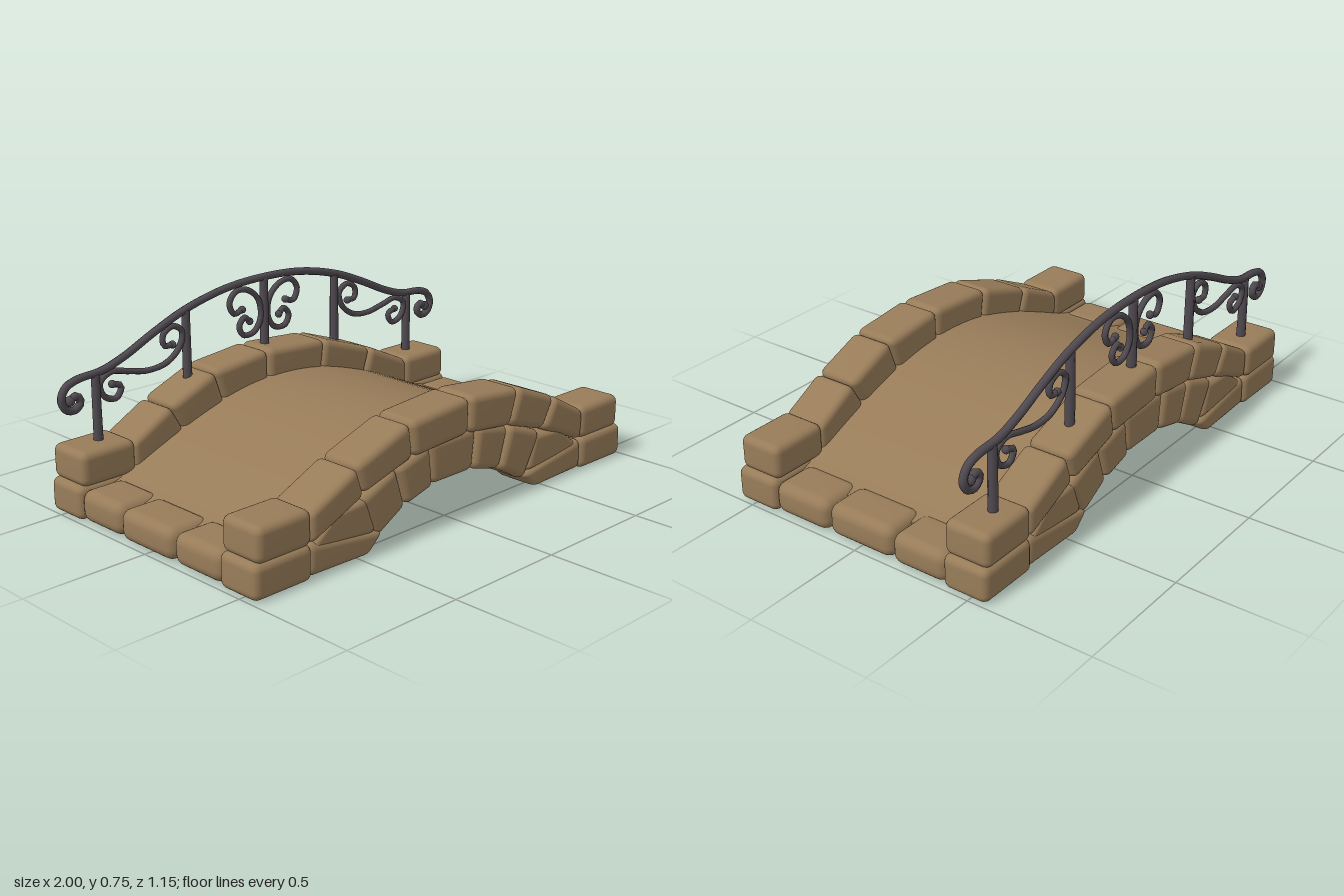
import * as THREE from 'three';
import { mergeVertices, toCreasedNormals } from 'three/addons/utils/BufferGeometryUtils.js';
import { RoundedBoxGeometry } from 'three/addons/geometries/RoundedBoxGeometry.js';

const stoneMat = new THREE.MeshStandardMaterial({ color: 0x987c59 });
stoneMat.name = 'sandstone';
const ironMat = new THREE.MeshStandardMaterial({ color: 0x504a50 });
ironMat.name = 'wrought iron';

// small seeded jitter so the stones do not line up perfectly
let seed = 7;
const jitter = (a) => {
  seed = (seed * 16807) % 2147483647;
  return (seed / 2147483647 - 0.5) * 2 * a;
};

// rounded stone: a soft box warped onto the quad [bl, br, tr, tl], spanning z0..z1
function stone(name, [bl, br, tr, tl], z0, z1, radius = 0.03) {
  const w = (Math.hypot(br[0] - bl[0], br[1] - bl[1]) + Math.hypot(tr[0] - tl[0], tr[1] - tl[1])) / 2;
  const h = (Math.hypot(tl[0] - bl[0], tl[1] - bl[1]) + Math.hypot(tr[0] - br[0], tr[1] - br[1])) / 2;
  let geo = new RoundedBoxGeometry(w, h, z1 - z0, 3, Math.min(radius, h * 0.4, w * 0.4));
  geo.deleteAttribute('uv');
  geo.deleteAttribute('normal');
  const p = geo.attributes.position;
  for (let i = 0; i < p.count; i++) {
    const u = p.getX(i) / w + 0.5, v = p.getY(i) / h + 0.5;
    const at = (k) => (1 - v) * ((1 - u) * bl[k] + u * br[k]) + v * ((1 - u) * tl[k] + u * tr[k]);
    p.setXYZ(i, at(0), at(1), p.getZ(i) + (z0 + z1) / 2);
  }
  geo = mergeVertices(geo, 1e-5);
  geo.computeVertexNormals();
  const mesh = new THREE.Mesh(geo, stoneMat);
  mesh.name = name;
  return mesh;
}

const rect = (x0, x1, y0, y1) => [[x0, y0], [x1, y0], [x1, y1], [x0, y1]];
const mirrorQuad = ([bl, br, tr, tl]) => [br, bl, tl, tr].map(([x, y]) => [-x, y]);

// one side wall: parapet course, arch course, feet and end blocks
function wall() {
  const g = new THREE.Group();
  const course = (name, low, high, z0, z1) => {
    for (let i = 0; i < low.length - 1; i++) {
      g.add(stone(name, [low[i], low[i + 1], high[i + 1], high[i]], z0 + jitter(0.004), z1 + jitter(0.006)));
    }
  };
  course('parapetStone',
    [[-0.74, 0.125], [-0.48, 0.235], [-0.23, 0.305], [0.06, 0.322], [0.29, 0.295], [0.49, 0.23], [0.74, 0.125]],
    [[-0.74, 0.25], [-0.52, 0.352], [-0.25, 0.444], [0.06, 0.466], [0.34, 0.438], [0.56, 0.349], [0.74, 0.25]],
    0.382, 0.567);
  course('archStone',
    [[-0.4, 0.05], [-0.26, 0.13], [-0.12, 0.168], [0.1, 0.168], [0.25, 0.13], [0.39, 0.05]],
    [[-0.5, 0.215], [-0.31, 0.29], [-0.14, 0.333], [0.12, 0.333], [0.3, 0.295], [0.49, 0.225]],
    0.385, 0.558);
  const ends = [
    ['upperEndBlock', rect(-0.975, -0.73, 0.128, 0.262), 0.38, 0.57],
    ['lowerEndBlock', rect(-0.993, -0.73, 0.003, 0.137), 0.385, 0.573],
    ['footStone', [[-0.74, 0.008], [-0.455, 0.004], [-0.37, 0.075], [-0.74, 0.135]], 0.385, 0.562],
    ['wedgeStone', [[-0.75, 0.1], [-0.4, 0.07], [-0.46, 0.22], [-0.6, 0.205]], 0.385, 0.556],
  ];
  for (const [name, quad, z0, z1] of ends) {
    g.add(stone(name, quad, z0, z1), stone(name, mirrorQuad(quad), z0, z1 + jitter(0.005)));
  }
  return g;
}

// curved walkway slab, open underneath between the walls
function deck() {
  const v2 = (pts) => pts.map(([x, y]) => new THREE.Vector2(x, y));
  const s = new THREE.Shape();
  s.moveTo(-0.87, 0.03);
  s.splineThru(v2([[-0.8, 0.045], [-0.6, 0.105], [-0.4, 0.168], [-0.2, 0.213], [0, 0.228],
    [0.2, 0.213], [0.4, 0.168], [0.6, 0.105], [0.8, 0.045], [0.87, 0.03]]));
  s.lineTo(0.87, 0.11);
  s.lineTo(0.8, 0.127);
  s.splineThru(v2([[0.6, 0.213], [0.4, 0.287], [0.2, 0.339], [0, 0.356],
    [-0.2, 0.339], [-0.4, 0.287], [-0.6, 0.213], [-0.8, 0.127]]));
  s.lineTo(-0.87, 0.11);
  const geo = new THREE.ExtrudeGeometry(s, { depth: 0.84, bevelEnabled: false, curveSegments: 5 });
  geo.translate(0, 0, -0.42);
  const mesh = new THREE.Mesh(toCreasedNormals(geo, 0.5), stoneMat);
  mesh.name = 'deck';
  return mesh;
}

// iron bar bent through points, with rounded tips
function bar(name, pts, radius, segments) {
  const g = new THREE.Group();
  g.name = name;
  const curve = new THREE.CatmullRomCurve3(pts.map(([x, y]) => new THREE.Vector3(x, y, 0)));
  g.add(new THREE.Mesh(new THREE.TubeGeometry(curve, segments, radius, 8), ironMat));
  for (const t of [0, 1]) {
    const tip = new THREE.Mesh(new THREE.SphereGeometry(radius * 1.3, 8, 6), ironMat);
    tip.position.copy(curve.getPoint(t));
    g.add(tip);
  }
  return g;
}

function railing() {
  const g = new THREE.Group();
  g.name = 'railing';
  const flip = (pts) => pts.map(([x, y]) => [-x, y]);

  // handrail curling into a scroll at each end
  const half = [[-0.948, 0.437], [-0.918, 0.452], [-0.9, 0.425], [-0.928, 0.398], [-0.967, 0.41], [-0.984, 0.45],
    [-0.962, 0.492], [-0.91, 0.512], [-0.8, 0.522], [-0.7, 0.553], [-0.55, 0.62], [-0.4, 0.678], [-0.2, 0.723]];
  g.add(bar('handrail', [...half, [0, 0.735], ...flip(half).reverse()], 0.0155, 160));

  // posts
  for (const [x, y0, y1] of [[-0.83, 0.25, 0.515], [-0.4, 0.39, 0.675], [0, 0.45, 0.735], [0.39, 0.39, 0.675], [0.83, 0.25, 0.515]]) {
    const post = new THREE.Mesh(new THREE.CylinderGeometry(0.017, 0.019, y1 - y0, 10), ironMat);
    post.name = 'post';
    post.position.set(x, (y0 + y1) / 2, 0);
    g.add(post);
  }

  // S scrolls between posts, C scrolls beside the centre post
  const sScroll = [[-0.757, 0.46], [-0.716, 0.444], [-0.74, 0.402], [-0.794, 0.42], [-0.812, 0.475], [-0.762, 0.508],
    [-0.676, 0.492], [-0.59, 0.476], [-0.5, 0.487], [-0.436, 0.535], [-0.42, 0.594], [-0.463, 0.624],
    [-0.511, 0.6], [-0.509, 0.556], [-0.468, 0.552]];
  const cScroll = [[-0.115, 0.622], [-0.158, 0.612], [-0.18, 0.658], [-0.148, 0.7], [-0.083, 0.695], [-0.03, 0.647],
    [-0.019, 0.572], [-0.056, 0.519], [-0.112, 0.517], [-0.132, 0.557], [-0.104, 0.588], [-0.078, 0.567]];
  for (const f of [(p) => p, flip]) {
    g.add(bar('sideScroll', f(sScroll), 0.012, 70), bar('centreScroll', f(cScroll), 0.012, 56));
  }
  g.position.z = -0.48;
  return g;
}

export function createModel() {
  const model = new THREE.Group();
  model.name = 'footbridge';

  const frontWall = wall();
  frontWall.name = 'frontWall';
  const backWall = wall();
  backWall.name = 'backWall';
  backWall.rotation.y = Math.PI;
  model.add(frontWall, backWall, deck(), railing());

  // threshold stones across both ends
  for (const s of [-1, 1]) {
    for (const [z0, z1] of [[-0.395, -0.155], [-0.155, 0.14], [0.14, 0.395]]) {
      const quad = rect(-0.99 + jitter(0.006), -0.8 + jitter(0.01), 0.006, 0.13 + jitter(0.004));
      model.add(stone('thresholdStone', s < 0 ? quad : mirrorQuad(quad), z0, z1, 0.042));
    }
  }
  return model;
}
